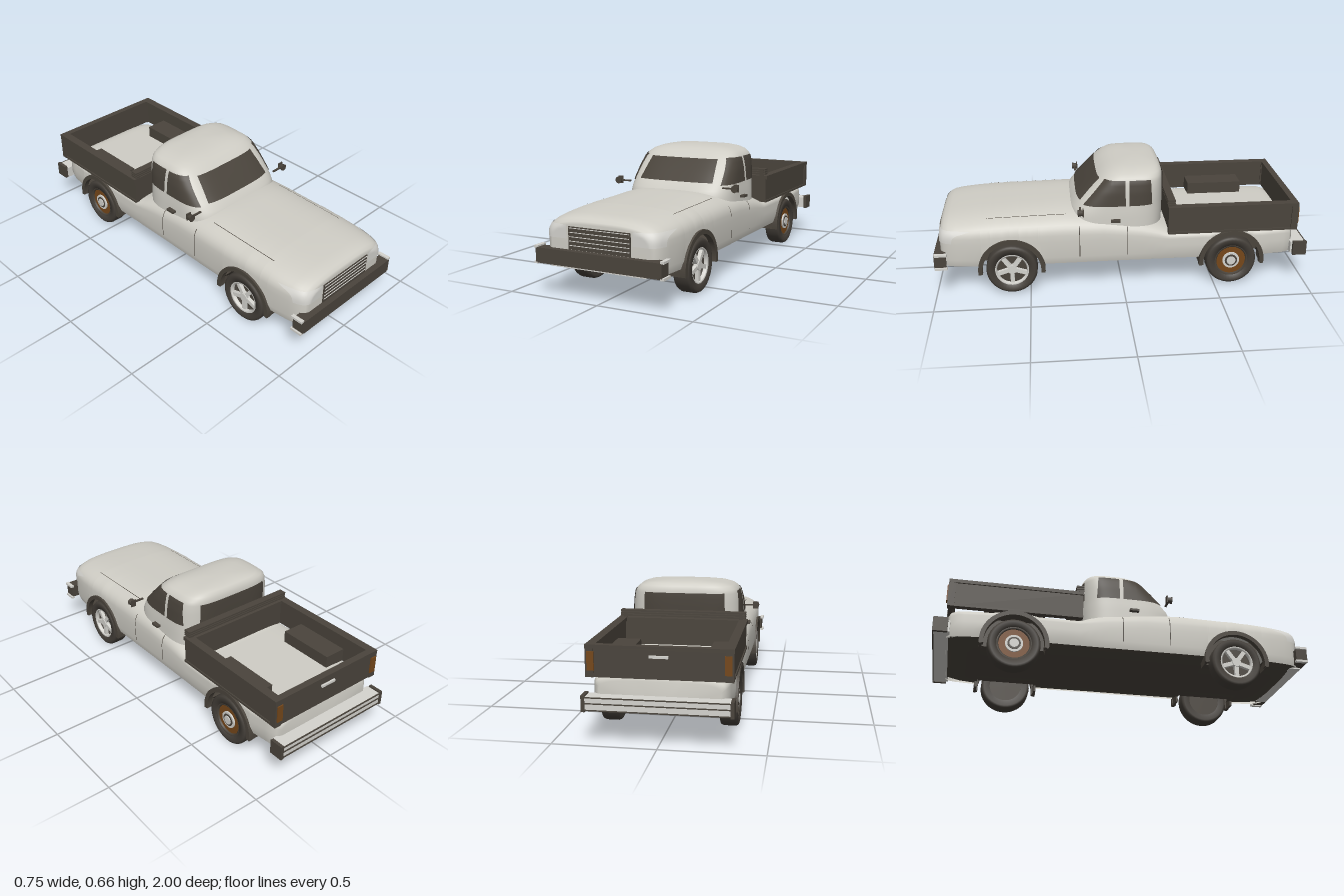
import * as THREE from 'three';
import { mergeVertices } from 'three/addons/utils/BufferGeometryUtils.js';

const mat = (name, color) =>
  new THREE.MeshStandardMaterial({ name, color, side: THREE.DoubleSide });

// Piecewise linear lookup in rows [key, a, b, ...] with rising keys
function look(rows, k) {
  if (k <= rows[0][0]) return rows[0].slice(1);
  for (let i = 1; i < rows.length; i++) {
    if (k <= rows[i][0]) {
      const p = rows[i - 1], q = rows[i], t = (k - p[0]) / (q[0] - p[0]);
      return p.slice(1).map((v, j) => v + (q[j + 1] - v) * t);
    }
  }
  return rows[rows.length - 1].slice(1);
}

// Surface from f(i, j) -> [x, y, z]
function grid(nu, nv, f) {
  const pos = [], idx = [], s = nv + 1;
  for (let i = 0; i <= nu; i++) for (let j = 0; j <= nv; j++) pos.push(...f(i, j));
  for (let i = 0; i < nu; i++) for (let j = 0; j < nv; j++) {
    const a = i * s + j;
    idx.push(a, a + 1, a + s, a + 1, a + s + 1, a + s);
  }
  let g = new THREE.BufferGeometry();
  g.setAttribute('position', new THREE.Float32BufferAttribute(pos, 3));
  g.setIndex(idx);
  g = mergeVertices(g, 1e-5);
  g.computeVertexNormals();
  return g;
}

const lerp = THREE.MathUtils.lerp;
const spow = (v, e) => Math.sign(v) * Math.pow(Math.abs(v), e);
const BASE = 0.16, WHEEL_Y = 0.137, ARCH = 0.16, WHEELS = [0.595, -0.59];

// Lower body by z: half width, top, shoulder start, squareness
const BODY = [
  [-0.93, 0.285, 0.30, 0.24, 4], [-0.915, 0.305, 0.315, 0.24, 5], [-0.88, 0.318, 0.32, 0.24, 6],
  [-0.75, 0.333, 0.32, 0.24, 6], [-0.25, 0.332, 0.32, 0.24, 6], [-0.2, 0.332, 0.355, 0.25, 4],
  [-0.1, 0.332, 0.395, 0.27, 3.2], [0.1, 0.333, 0.43, 0.29, 3], [0.3, 0.335, 0.44, 0.29, 3],
  [0.7, 0.335, 0.427, 0.29, 3.2], [0.8, 0.332, 0.42, 0.29, 3.2], [0.88, 0.323, 0.413, 0.29, 3.2],
  [0.92, 0.313, 0.407, 0.29, 3.2], [0.945, 0.3, 0.397, 0.29, 3.2], [0.96, 0.285, 0.383, 0.28, 3.2],
  [0.968, 0.268, 0.37, 0.28, 3.2],
];
const archBottom = z => WHEELS.reduce((y, w) => {
  const d = Math.abs(z - w);
  return d < ARCH ? Math.max(y, WHEEL_Y + Math.sqrt(ARCH * ARCH - d * d)) : y;
}, BASE);
function bodyX(z, y) {
  const [w, top, y0, n] = look(BODY, z);
  return y <= y0 ? w : w * Math.pow(Math.max(0, 1 - Math.pow((y - y0) / (top - y0), n)), 1 / n);
}
function bodyGeometry() {
  const zs = BODY.map(r => r[0]);
  for (let z = -0.85; z < 0.85; z += 0.05) zs.push(z);
  for (const w of WHEELS) for (let a = 8; a <= 172; a += 8.2) zs.push(w + ARCH * Math.cos(a * Math.PI / 180));
  zs.sort((a, b) => a - b);
  const Q = 14, half = z => {
    const [w, top, y0, n] = look(BODY, z), yb = archBottom(z), ys = Math.max(y0, yb), out = [];
    out.push([w * (yb > BASE + 0.01 ? 1 : 0.965), yb], [w, Math.max(yb, 0.2)]);
    for (let k = 0; k <= Q; k++) {
      const a = k / Q * Math.PI / 2;
      out.push([w * spow(Math.cos(a), 2 / n), ys + (top - ys) * spow(Math.sin(a), 2 / n)]);
    }
    return out;
  };
  const rings = zs.map(z => {
    const h = half(z);
    return [...h, ...h.slice(0, -1).reverse().map(([x, y]) => [-x, y])].map(([x, y]) => [x, y, z]);
  });
  const close = z => rings[0].map(() => [0, BASE, z]);
  rings.unshift(close(zs[0]));
  rings.push(close(zs[zs.length - 1]));
  return grid(rings.length - 1, rings[0].length - 1, (i, j) => rings[i][j]);
}

// Cab by height: front z, back z, half width
const CAB = [
  [0.28, 0.30, -0.225, 0.312], [0.40, 0.285, -0.23, 0.308], [0.44, 0.268, -0.23, 0.304],
  [0.48, 0.235, -0.23, 0.3], [0.54, 0.178, -0.23, 0.294], [0.59, 0.128, -0.229, 0.284],
  [0.61, 0.105, -0.226, 0.274], [0.628, 0.078, -0.22, 0.253], [0.642, 0.045, -0.208, 0.215],
  [0.65, 0.005, -0.19, 0.165], [0.655, -0.04, -0.15, 0.09], [0.656, -0.1, -0.1, 0],
];
const CN = 4;
function cab(y) {
  const [f, b, w] = look(CAB, y);
  return { c: (f + b) / 2, l: (f - b) / 2, w };
}
const cross = t => Math.pow(Math.max(0, 1 - Math.pow(Math.abs(t), CN)), 1 / CN);
const cabX = (z, y) => { const s = cab(y); return s.w * cross((z - s.c) / s.l); };
const cabZ = (x, y, side) => { const s = cab(y); return s.c + side * s.l * cross(x / s.w); };
const cabGeometry = () => grid(CAB.length - 1, 96, (i, j) => {
  const y = CAB[i][0], s = cab(y), a = (j % 96) / 96 * Math.PI * 2 - Math.PI / 2;
  return [s.w * spow(Math.cos(a), 2 / CN), y, s.c + s.l * spow(Math.sin(a), 2 / CN)];
});

export function createModel() {
  const truck = new THREE.Group();
  truck.name = 'pickupTruck';
  const paint = mat('body paint', 0xcfcdc5), trim = mat('dark trim', 0x4a443c);
  const rubber = mat('tyre rubber', 0x433e38), glass = mat('window glass', 0x49433b);
  const metal = mat('bright metal', 0xd4d3ce), rust = mat('amber brown', 0x75471a);
  const add = (name, geo, m, parent = truck) => {
    const o = new THREE.Mesh(geo, m);
    o.name = name;
    parent.add(o);
    return o;
  };
  // Box given by its limits
  const box = (name, m, x0, x1, y0, y1, z0, z1, parent) => {
    const o = add(name, new THREE.BoxGeometry(x1 - x0, y1 - y0, z1 - z0), m, parent);
    o.position.set((x0 + x1) / 2, (y0 + y1) / 2, (z0 + z1) / 2);
    return o;
  };
  const pair = (name, m, x0, x1, ...r) => {
    box(name + 'Left', m, x0, x1, ...r);
    box(name + 'Right', m, -x1, -x0, ...r);
  };

  add('body', bodyGeometry(), paint);
  add('cab', cabGeometry(), paint);

  // Windows lie just outside the cab surface
  const wrapWindow = (name, side, wLow, wHigh) => add(name, grid(8, 20, (i, j) => {
    const y = lerp(0.48, 0.595, i / 8), x = lerp(wLow, wHigh, i / 8) * (j / 10 - 1);
    return [x, y, cabZ(x, y, side) + side * 0.005];
  }), glass);
  wrapWindow('windscreen', 1, 0.22, 0.2);
  wrapWindow('rearWindow', -1, 0.22, 0.215);
  for (const s of [1, -1]) {
    const sideWindow = (name, zf0, zf1, zb0, zb1) => add(name, grid(10, 20, (i, j) => {
      const y = lerp(0.468, 0.602, i / 10);
      const z = lerp(lerp(zf0, zf1, i / 10), lerp(zb0, zb1, i / 10), j / 20);
      return [s * (cabX(z, y) + 0.004), y, z + (z > 0.05 ? 0.003 : 0)];
    }), glass);
    sideWindow('doorWindow', 0.205, 0.088, -0.015, -0.015);
    sideWindow('rearSideWindow', -0.035, -0.035, -0.158, -0.15);

    // Headlamps follow the curved nose
    add('headlamp', grid(6, 14, (i, j) => {
      const y = lerp(0.296, 0.362, i / 6), x = lerp(0.18, 0.318, j / 14);
      let lo = 0.8, hi = 0.968;
      for (let k = 0; k < 24; k++) { const m = (lo + hi) / 2; bodyX(m, y) > x ? lo = m : hi = m; }
      return [s * (x + 0.002), y, lo + 0.004];
    }), metal);

    // Bonnet seam and door seams
    add('bonnetSeam', grid(12, 1, (i, j) => {
      const z = lerp(0.3, 0.72, i / 12), x = 0.253 + j * 0.003;
      const [w, top, y0, n] = look(BODY, z);
      return [s * x, y0 + (top - y0) * Math.pow(1 - Math.pow(x / w, n), 1 / n) + 0.002, z];
    }), trim);
    for (const z of [0.23, -0.025]) add('doorSeam', grid(10, 1, (i, j) => {
      const y = lerp(0.2, 0.37, i / 10);
      return [s * (bodyX(z, y) + 0.002), y, z + j * 0.004];
    }), trim);

    // Mirror with arm
    const mirror = new THREE.Group();
    mirror.name = 'wingMirror';
    truck.add(mirror);
    mirror.scale.x = s;
    box('mirrorArm', trim, 0.28, 0.345, 0.456, 0.464, 0.22, 0.23, mirror);
    const head = add('mirrorHead', new THREE.CylinderGeometry(0.02, 0.013, 0.03, 8), trim, mirror);
    head.rotation.x = Math.PI / 2;
    head.position.set(0.353, 0.46, 0.225);
    box('mirrorPlate', trim, 0.338, 0.368, 0.441, 0.481, 0.209, 0.215, mirror);
  }
  pair('doorHandle', trim, 0.312, 0.335, 0.388, 0.4, 0.015, 0.065);

  // Grille
  box('grille', trim, -0.17, 0.17, 0.245, 0.356, 0.955, 0.973);
  for (let i = 0; i < 5; i++) box('grilleSlat', metal, -0.165, 0.165, 0.264 + i * 0.021, 0.267 + i * 0.021, 0.97, 0.976);

  // Front bumper
  box('frontBumper', trim, -0.335, 0.335, 0.168, 0.243, 0.94, 1);
  pair('frontBumperEnd', trim, 0.335, 0.345, 0.172, 0.24, 0.935, 0.998);
  for (const y of [0.162, 0.239]) pair('frontBumperLip', metal, 0.335, 0.355, y, y + 0.012, 0.93, 0.996);
  box('frontBumperLowerLip', metal, -0.26, 0.26, 0.16, 0.168, 0.93, 0.992);

  // Rear bumper
  box('rearBumper', metal, -0.335, 0.335, 0.168, 0.232, -0.995, -0.915);
  pair('rearBumperEnd', trim, 0.335, 0.352, 0.162, 0.24, -1, -0.925);
  for (const y of [0.168, 0.2, 0.228]) box('rearBumperStrip', trim, -0.335, 0.335, y, y + 0.005, -1, -0.994);

  // Load bed
  pair('bedSide', trim, 0.312, 0.337, 0.312, 0.455, -0.935, -0.24);
  pair('bedRail', trim, 0.3, 0.345, 0.447, 0.466, -0.94, -0.238);
  pair('bedLowerRail', trim, 0.315, 0.343, 0.312, 0.324, -0.936, -0.24);
  pair('bedPost', trim, 0.305, 0.344, 0.312, 0.462, -0.94, -0.905);
  pair('wheelHump', trim, 0.19, 0.315, 0.315, 0.385, -0.75, -0.435);
  box('tailgate', trim, -0.31, 0.31, 0.312, 0.455, -0.935, -0.912);
  box('tailgateRail', trim, -0.31, 0.31, 0.447, 0.466, -0.94, -0.905);
  box('bedFrontWall', trim, -0.31, 0.31, 0.312, 0.455, -0.27, -0.245);
  box('bedFrontRail', trim, -0.31, 0.31, 0.447, 0.466, -0.285, -0.238);
  for (let i = 0; i < 3; i++) box('headboardBar', trim, -0.335, 0.335, 0.472 + i * 0.012, 0.481 + i * 0.012, -0.275, -0.235);
  pair('headboardPost', trim, 0.3, 0.32, 0.46, 0.5, -0.27, -0.24);
  box('tailgateHandle', metal, -0.045, 0.045, 0.412, 0.424, -0.945, -0.935);
  pair('tailLamp', rust, 0.302, 0.335, 0.345, 0.435, -0.946, -0.938);

  // Underbody, narrowed between the wheels
  const under = [[-0.92, 0.26, 0.165], [-0.85, 0.3, 0.145], [-0.752, 0.32, 0.138], [-0.75, 0.235, 0.138],
    [-0.43, 0.235, 0.138], [-0.428, 0.32, 0.138], [0.433, 0.32, 0.138], [0.435, 0.235, 0.138],
    [0.755, 0.235, 0.135], [0.757, 0.32, 0.135], [0.88, 0.3, 0.14], [0.955, 0.27, 0.165]];
  add('underbody', grid(under.length - 1, 12, (i, j) => {
    const [z, w, y] = under[i], t = j / 6 - 1;
    return [w * t, y + (0.168 - y) * Math.pow(Math.abs(t), 4), z];
  }), trim);

  // Wheels, arch flares and wells
  const tyre = [[0.088, -0.04], [0.12, -0.045], [0.131, -0.041], [0.136, -0.03], [0.136, 0.03],
    [0.131, 0.041], [0.12, 0.045], [0.09, 0.04], [0.086, 0.015]].map(p => new THREE.Vector2(...p));
  const rim = [[0.08, 0.02], [0.08, 0.037], [0.089, 0.041], [0.092, 0.036]].map(p => new THREE.Vector2(...p));
  const flare = new THREE.Shape();
  flare.absarc(0, 0, 0.178, -0.1, Math.PI + 0.1, false);
  flare.absarc(0, 0, 0.155, Math.PI + 0.1, -0.1, true);
  const flareGeo = new THREE.ExtrudeGeometry(flare, { depth: 0.03, bevelEnabled: false, curveSegments: 28 });
  const disc = (name, r, h, y, m, parent, n = 32) => {
    const o = add(name, new THREE.CylinderGeometry(r, r, h, n), m, parent);
    o.position.y = y;
    return o;
  };
  WHEELS.forEach((z, k) => {
    box('wheelWell', trim, -0.235, 0.235, 0.15, 0.305, z - ARCH, z + ARCH);
    for (const s of [1, -1]) {
      const wheel = new THREE.Group();
      wheel.name = k ? 'rearWheel' : 'frontWheel';
      wheel.position.set(s * 0.295, WHEEL_Y, z);
      wheel.rotation.z = -s * Math.PI / 2;
      truck.add(wheel);
      add('tyre', new THREE.LatheGeometry(tyre, 40), rubber, wheel);
      disc('wheelBack', 0.088, 0.03, -0.02, trim, wheel);
      if (k) {
        add('rim', new THREE.LatheGeometry(rim, 40), trim, wheel);
        disc('rimDish', 0.082, 0.03, 0.015, rust, wheel);
        disc('hubRing', 0.046, 0.012, 0.032, metal, wheel);
        disc('hubRecess', 0.034, 0.004, 0.038, trim, wheel);
        disc('hubCap', 0.024, 0.012, 0.038, metal, wheel, 16);
      } else {
        add('rim', new THREE.LatheGeometry(rim, 40), metal, wheel);
        disc('hub', 0.024, 0.026, 0.026, metal, wheel, 20);
        for (let i = 0; i < 5; i++) {
          const arm = new THREE.Group();
          arm.name = 'spoke';
          arm.rotation.y = i * Math.PI * 0.4 + (s > 0 ? Math.PI / 2 : -Math.PI / 2) - Math.PI / 2;
          wheel.add(arm);
          box('spokeBar', metal, 0.015, 0.084, 0.015, 0.034, -0.011, 0.011, arm);
        }
      }
      const f = add('archFlare', flareGeo, trim);
      f.position.set(s > 0 ? 0.316 : -0.346, WHEEL_Y, z);
      f.rotation.y = Math.PI / 2;
    }
    for (const d of [-0.168, 0.168]) pair('mudFlap', trim, 0.25, 0.345, 0.118, 0.165, z + d - 0.006, z + d + 0.006);
  });
  return truck;
}
